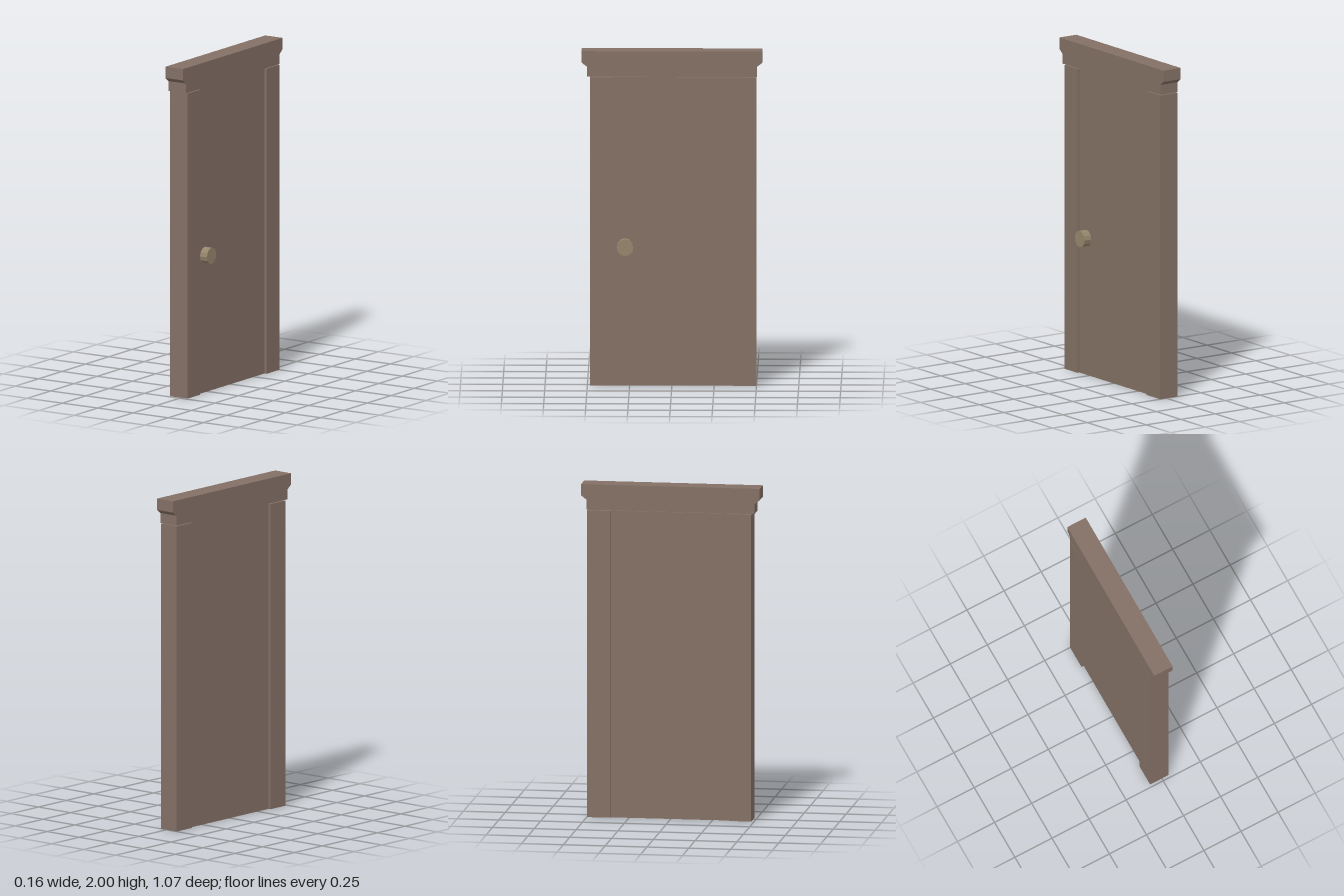
import * as THREE from 'three';

export function createModel() {
  const model = new THREE.Group();
  model.name = 'door';

  const wood = new THREE.MeshStandardMaterial({ color: 0x837065 });
  wood.name = 'brown wood';
  const brass = new THREE.MeshStandardMaterial({ color: 0x95866c });
  brass.name = 'dull brass';

  const back = -0.079, face = 0.045, recess = 0.015;
  const postTop = 1.843;

  // Upright block given by its limits in x and z
  function upright(name, x0, x1, z0, z1) {
    const mesh = new THREE.Mesh(new THREE.BoxGeometry(x1 - x0, postTop, z1 - z0), wood);
    mesh.position.set((x0 + x1) / 2, postTop / 2, (z0 + z1) / 2);
    mesh.name = name;
    model.add(mesh);
  }

  // Side posts and the panel set back between them
  upright('frontPost', back, face, 0.35, 0.483);
  upright('rearPost', back, face, -0.5, -0.36);
  upright('doorPanel', back + recess, face - recess, -0.36, 0.35);

  // Lintel with an overhanging, bevelled cap, extruded through the wall depth
  const profile = new THREE.Shape([
    [-0.503, 1.848], [0.503, 1.848], [0.503, 1.908], [0.534, 1.932],
    [0.534, 2], [-0.534, 2], [-0.534, 1.932], [-0.503, 1.908],
  ].map(([u, v]) => new THREE.Vector2(u, v)));
  const lintelGeometry = new THREE.ExtrudeGeometry(profile, { depth: face - back, bevelEnabled: false });
  lintelGeometry.rotateY(Math.PI / 2);
  const lintel = new THREE.Mesh(lintelGeometry, wood);
  lintel.position.x = back;
  lintel.name = 'lintel';
  model.add(lintel);

  // Faceted round knob on the panel
  const knobStart = face - recess, knobEnd = 0.079;
  const knobGeometry = new THREE.CylinderGeometry(0.05, 0.05, knobEnd - knobStart, 12).toNonIndexed();
  knobGeometry.computeVertexNormals();
  knobGeometry.rotateZ(-Math.PI / 2);
  const knob = new THREE.Mesh(knobGeometry, brass);
  knob.position.set((knobStart + knobEnd) / 2, 0.83, 0.277);
  knob.name = 'knob';
  model.add(knob);

  return model;
}
